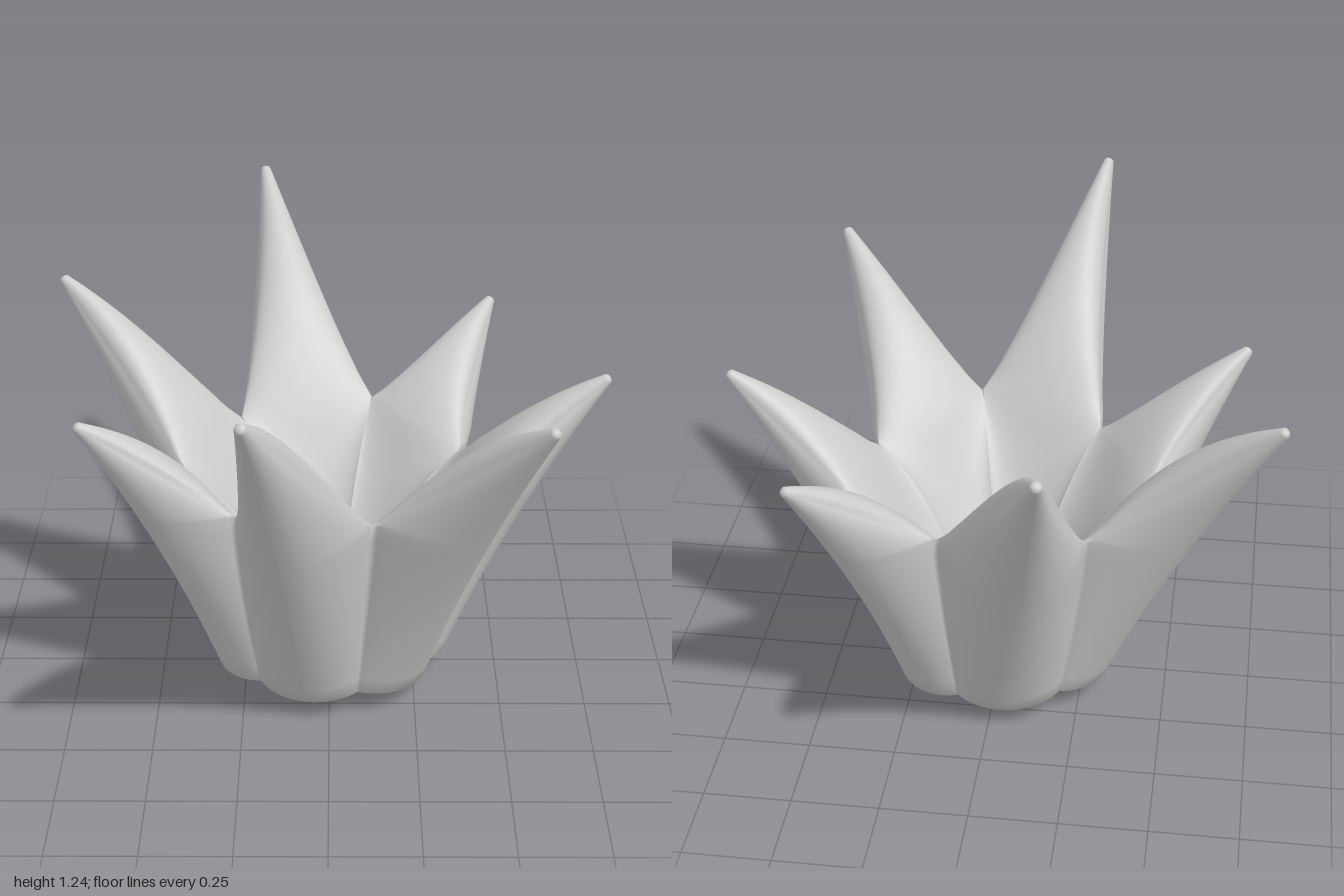
import * as THREE from 'three';
import { mergeVertices } from 'three/addons/utils/BufferGeometryUtils.js';

const v = (x, y, z) => new THREE.Vector3(x, y, z);
const polar = (a, r, y) => v(Math.sin(a) * r, y, Math.cos(a) * r);
const mix = (a, b, t) => a.clone().lerp(b, t);
const curve = (a, b, c) => new THREE.QuadraticBezierCurve3(a, b, c);

const COLS = 16, LOWER = 12, UPPER = 20;

// Spike tips, counter-clockwise from the front; valleys[i] sits just before tips[i]
const tips = [
  v(-0.21, 1.24, 1.0), v(0.58, 1.09, 0.7), v(0.8, 0.94, 0), v(0.5, 0.94, -0.62),
  v(-0.21, 1.24, -1.0), v(-0.8, 1.09, -0.4), v(-0.69, 0.94, 0.34),
];
const valleys = [
  v(-0.26, 0.65, 0.32), v(0.12, 0.69, 0.44), v(0.4, 0.63, 0.17), v(0.39, 0.62, -0.18),
  v(0.13, 0.69, -0.42), v(-0.27, 0.66, -0.33), v(-0.42, 0.64, 0),
];

// Bowed line from left to right through the crest; a higher power softens its ends
function arc(left, right, crest, power) {
  const mid = mix(left, right, 0.5), half = right.clone().sub(left).multiplyScalar(0.5);
  const rise = crest.clone().sub(mid);
  return Array.from({ length: COLS + 1 }, (_, j) => {
    const t = Math.PI * j / COLS;
    const bow = Math.pow(Math.max(0, Math.sin(t)), power);
    return mid.clone().addScaledVector(half, -Math.cos(t)).addScaledVector(rise, bow);
  });
}

// Triangles between successive rows of points
function skin(rows, flip, out) {
  for (let i = 0; i + 1 < rows.length; i++) {
    for (let j = 0; j < COLS; j++) {
      const a = rows[i][j], b = rows[i][j + 1], c = rows[i + 1][j + 1], d = rows[i + 1][j];
      for (const [p, q, r] of [[a, b, c], [a, c, d]]) {
        const area = q.clone().sub(p).cross(r.clone().sub(p)).length();
        if (area < 1e-9) continue;
        for (const k of flip ? [p, r, q] : [p, q, r]) out.push(k.x, k.y, k.z);
      }
    }
  }
}

// One petal: outer wall, inner wall, spike, and its slice of underside and floor
function addPetal(tipEnd, vl, vr, out) {
  const al = Math.atan2(vl.x, vl.z);
  let ar = Math.atan2(vr.x, vr.z);
  if (ar < al) ar += Math.PI * 2;
  const am = (al + ar) / 2;
  const mid = mix(vl, vr, 0.5);
  const dir = tipEnd.clone().sub(v(mid.x, 0.55, mid.z)).normalize();
  const side = v(0, 1, 0).cross(dir).normalize();
  const up = dir.clone().cross(side).normalize();
  const tip = tipEnd.clone().addScaledVector(dir, -0.012);
  const at = (axis, d) => tip.clone().addScaledVector(axis, d);

  // Outer ridge from base to tip
  const base = polar(am, 0.345, 0.06);
  const ridgeCtrl = mix(base, tip, 0.5).add(polar(am, -0.02, 0.05));
  const ridge = curve(base, ridgeCtrl, at(up, -0.016));
  const split = (mid.y - 0.06) / (tip.y - 0.06) - 0.04;

  // Side edges of the spike, and the wall seams below each valley
  const edge = (V, s) => curve(V, v(
    V.x + 0.32 * (tip.x - V.x) + 0.15 * (mid.x - V.x),
    V.y + 0.3 * (tip.y - V.y),
    V.z + 0.32 * (tip.z - V.z) + 0.15 * (mid.z - V.z)), at(side, s));
  const outerSeam = (V) => {
    const a = Math.atan2(V.x, V.z);
    return curve(polar(a, 0.315, 0.075), polar(a, 0.4, 0.4), V);
  };
  const innerSeam = (V) => {
    const a = Math.atan2(V.x, V.z);
    return curve(polar(a, 0.13, 0.24), polar(a, 0.29, 0.58), V);
  };

  // Inner ridge
  const lip = polar(am, 0.37, mid.y);
  const innerLow = curve(polar(am, 0.135, 0.24), polar(am, 0.26, 0.46), lip);
  const innerCtrl = v(lip.x + (tip.x - lip.x) * 0.37, lip.y + (tip.y - lip.y) * 0.7,
    lip.z + (tip.z - lip.z) * 0.37);
  const innerHigh = curve(lip, innerCtrl, at(up, 0.016));

  const outer = [], inner = [];
  const [ol, or, il, ir] = [outerSeam(vl), outerSeam(vr), innerSeam(vl), innerSeam(vr)];
  const [el, er] = [edge(vl, -0.016), edge(vr, 0.016)];
  for (let i = 0; i < LOWER; i++) {
    const t = i / LOWER;
    outer.push(arc(ol.getPoint(t), or.getPoint(t), ridge.getPoint(t * split), 1.6));
    inner.push(arc(il.getPoint(t), ir.getPoint(t), innerLow.getPoint(t), 1.6));
  }
  for (let i = 0; i <= UPPER; i++) {
    const t = i / UPPER, l = el.getPoint(t), r = er.getPoint(t);
    outer.push(arc(l, r, ridge.getPoint(split + t * (1 - split)), 1.6 - 0.6 * t));
    inner.push(arc(l, r, innerHigh.getPoint(t), Math.max(1, 1.6 - 3 * t)));
  }
  // Rounded tip
  for (const rows of [outer, inner]) {
    const last = rows[rows.length - 1];
    for (const a of [0.5, 1.0, Math.PI / 2]) {
      rows.push(last.map((p) => mix(tip, p, Math.cos(a)).addScaledVector(dir, 0.012 * Math.sin(a))));
    }
  }
  // Shallow pointed underside and bowl floor
  const slice = (ring, steps) => steps.map(([k, y]) => ring.map((p) => v(p.x * k, y ?? p.y, p.z * k)));
  const under = slice(outer[0], [[0, 0], [0.15, 0.01], [0.33, 0.033], [0.65, 0.05], [0.92, 0.058], [1]]);
  const floor = slice(inner[0], [[0, 0.2], [0.5, 0.21], [1]]);
  skin(under, false, out);
  skin(outer, false, out);
  skin(floor, true, out);
  skin(inner, true, out);
}

export function createModel() {
  const grey = new THREE.MeshStandardMaterial({ color: 0xcccccc });
  grey.name = 'lightGrey';

  const points = [];
  tips.forEach((tip, i) => addPetal(tip, valleys[i], valleys[(i + 1) % tips.length], points));

  // Weld the petals so that the walls shade smoothly into each other
  let geometry = new THREE.BufferGeometry();
  geometry.setAttribute('position', new THREE.Float32BufferAttribute(points, 3));
  geometry = mergeVertices(geometry, 1e-4);
  geometry.computeVertexNormals();

  const crown = new THREE.Mesh(geometry, grey);
  crown.name = 'spikedCrown';
  const group = new THREE.Group();
  group.name = 'splashCrown';
  group.add(crown);
  return group;
}
